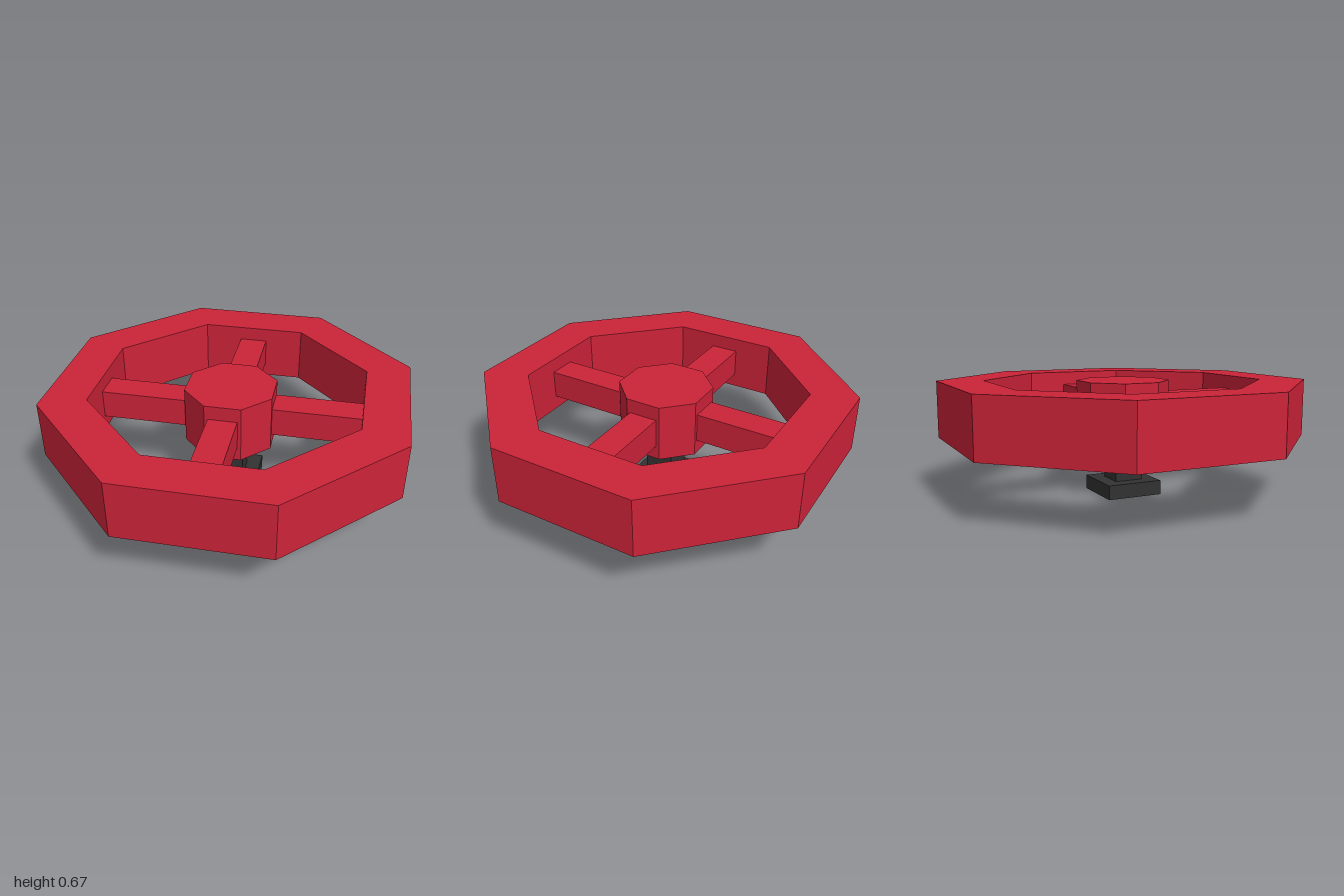
import * as THREE from 'three';

const red = new THREE.MeshStandardMaterial({ name: 'red', color: 0xcb2338 });
const black = new THREE.MeshStandardMaterial({ name: 'black', color: 0x323232 });

const BOTTOM = 0.337, TOP = 0.67, MIDDLE = (BOTTOM + TOP) / 2;

// Corners of an octagon with flat sides facing the axes
function octagon(apothem) {
  const radius = apothem / Math.cos(Math.PI / 8);
  return Array.from({ length: 8 }, (_, i) => {
    const a = (i + 0.5) * Math.PI / 4;
    return new THREE.Vector2(radius * Math.cos(a), radius * Math.sin(a));
  });
}

// Upright octagonal prism, optionally with an octagonal hole
function octagonPrism(outer, inner) {
  const shape = new THREE.Shape(octagon(outer));
  if (inner) shape.holes.push(new THREE.Path(octagon(inner).reverse()));
  const geometry = new THREE.ExtrudeGeometry(shape, { depth: TOP - BOTTOM, bevelEnabled: false });
  return geometry.rotateX(-Math.PI / 2).translate(0, BOTTOM, 0);
}

export function createModel() {
  const model = new THREE.Group();
  model.name = 'valveHandwheel';

  function add(name, geometry, material) {
    const mesh = new THREE.Mesh(geometry, material);
    mesh.name = name;
    model.add(mesh);
    return mesh;
  }

  // Handwheel
  add('rim', octagonPrism(1, 0.75), red);
  add('hub', octagonPrism(0.25), red);

  // Four spokes between hub and rim
  for (let i = 0; i < 4; i++) {
    const geometry = new THREE.BoxGeometry(0.5, 0.167, 0.167).translate(0.5, MIDDLE, 0);
    add('spoke' + (i + 1), geometry, red).rotation.y = i * Math.PI / 2;
  }

  // Square stem and foot
  const foot = 0.083;
  add('stem', new THREE.BoxGeometry(0.167, BOTTOM - foot, 0.167).translate(0, (BOTTOM + foot) / 2, 0), black);
  add('foot', new THREE.BoxGeometry(0.333, foot, 0.333).translate(0, foot / 2, 0), black);

  return model;
}
